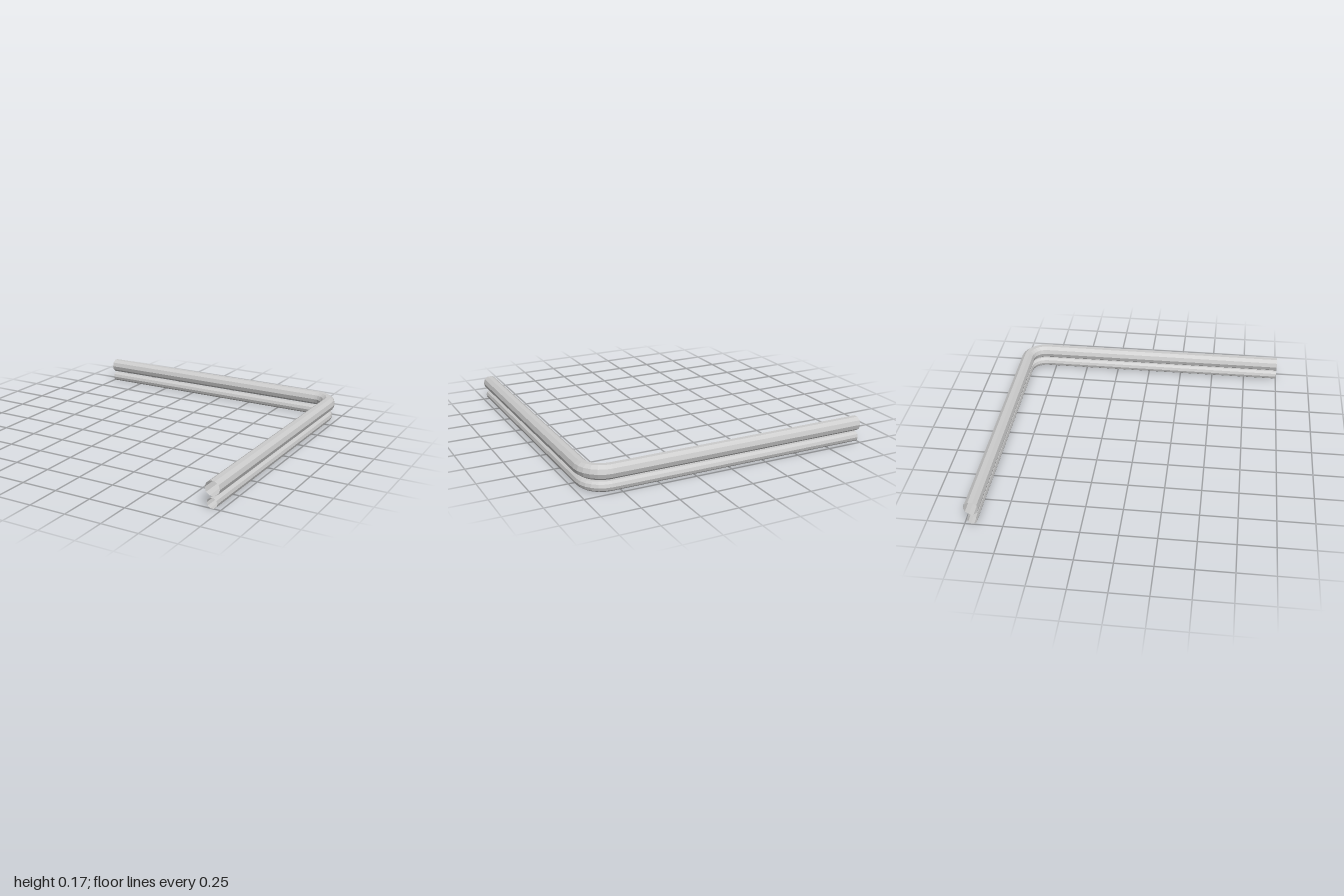
import * as THREE from 'three';

const SIDES = 10, BEND_STEPS = 6;
const BEND_RADIUS = 0.135, BEND_X = 0.808, BEND_Z = -0.815;
const END_X = -0.993, END_Z = 1;

// Open-ended pipe: straight run, quarter bend, straight run
function pipeGeometry(radius, y) {
  // Path stations: centre of each ring and the direction it faces outward
  const stations = [{ x: END_X, z: BEND_Z - BEND_RADIUS, angle: 0 }];
  for (let i = 0; i <= BEND_STEPS; i++) {
    const angle = (i / BEND_STEPS) * Math.PI / 2;
    stations.push({
      x: BEND_X + BEND_RADIUS * Math.sin(angle),
      z: BEND_Z - BEND_RADIUS * Math.cos(angle),
      angle,
    });
  }
  stations.push({ x: BEND_X + BEND_RADIUS, z: END_Z, angle: Math.PI / 2 });

  const positions = [], index = [];
  stations.forEach((s, i) => {
    for (let j = 0; j < SIDES; j++) {
      const a = (j / SIDES) * Math.PI * 2;
      const out = radius * Math.cos(a);
      positions.push(s.x + out * Math.sin(s.angle), y + radius * Math.sin(a), s.z - out * Math.cos(s.angle));
      if (i === 0) continue;
      const k = (j + 1) % SIDES, prev = (i - 1) * SIDES, cur = i * SIDES;
      index.push(prev + j, prev + k, cur + j, prev + k, cur + k, cur + j);
    }
  });
  const geometry = new THREE.BufferGeometry();
  geometry.setAttribute('position', new THREE.Float32BufferAttribute(positions, 3));
  geometry.setIndex(index);
  geometry.computeVertexNormals();
  return geometry;
}

export function createModel() {
  const group = new THREE.Group();
  group.name = 'cornerPipes';
  const material = new THREE.MeshStandardMaterial({ color: 0xcccccc, flatShading: true, side: THREE.DoubleSide });

  // Thick pipe above, thin pipe directly below it
  for (const [name, radius, y] of [['upperPipe', 0.05, 0.127], ['lowerPipe', 0.035, 0.0333]]) {
    const pipe = new THREE.Mesh(pipeGeometry(radius, y), material);
    pipe.name = name;
    group.add(pipe);
  }
  return group;
}
